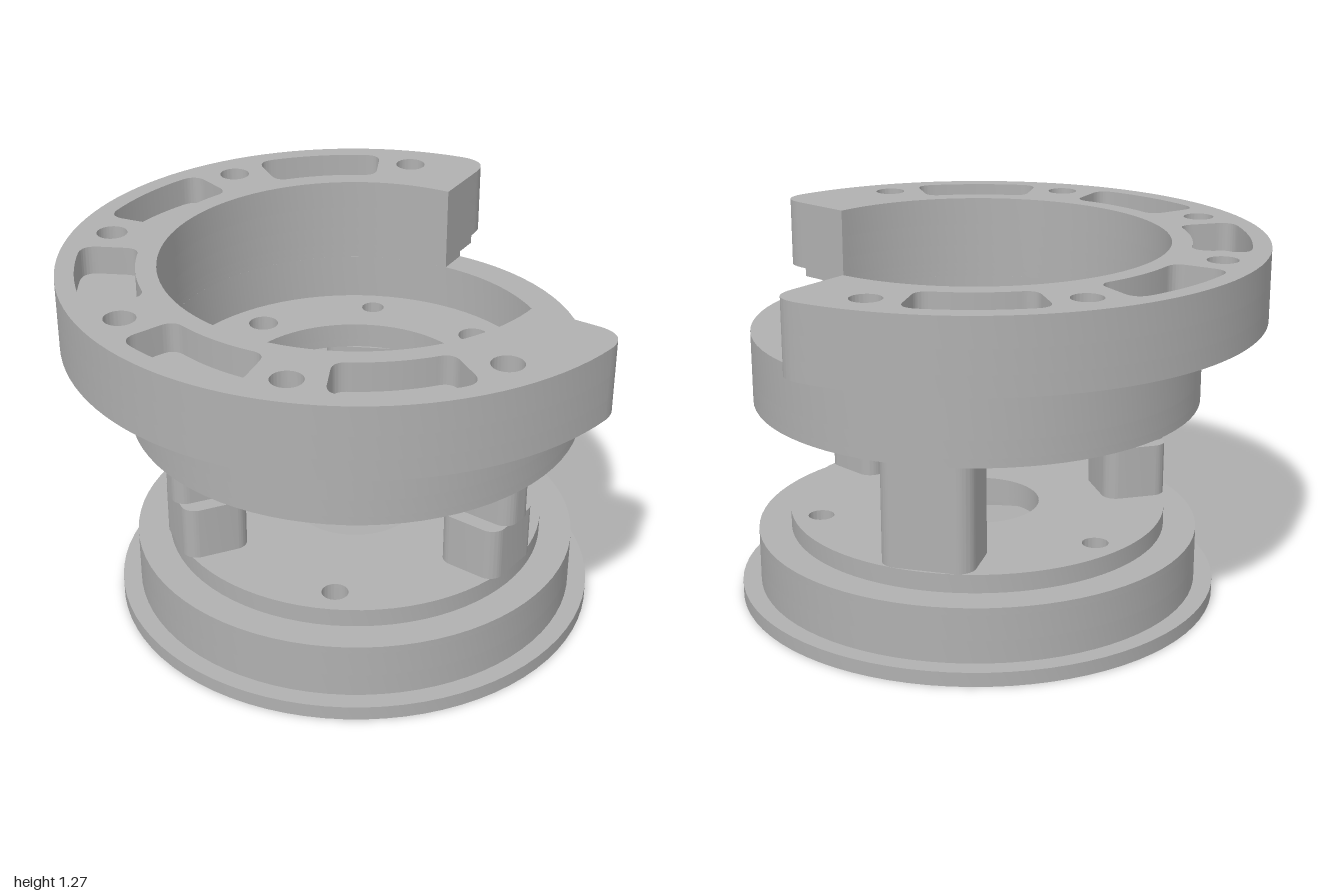
import * as THREE from 'three';
import { toCreasedNormals } from 'three/addons/utils/BufferGeometryUtils.js';

const rad = (d) => (d * Math.PI) / 180;

// Round hole at a polar position
function bore(r, deg, size) {
  const p = new THREE.Path();
  p.absarc(r * Math.cos(rad(deg)), r * Math.sin(rad(deg)), size, 0, Math.PI * 2);
  return p;
}

const bores = (r, angles, size) => angles.map((a) => bore(r, a, size));

// Full ring outline
function ring(outer, inner) {
  const s = new THREE.Shape();
  s.absarc(0, 0, outer, 0, Math.PI * 2);
  if (inner) s.holes.push(bore(0, 0, inner));
  return s;
}

// Part of a ring between two angles; co and ci round its outer and inner corners
function sector(outer, inner, from, to, co = 0, ci = 0) {
  const a = rad(from), b = rad(to), s = new THREE.Shape();
  const at = (r, t) => [r * Math.cos(t), r * Math.sin(t)];
  const ao = co / outer, ai = ci / inner;
  s.moveTo(...at(inner + ci, a));
  s.lineTo(...at(outer - co, a));
  if (co) s.quadraticCurveTo(...at(outer, a), ...at(outer, a + ao));
  s.absarc(0, 0, outer, a + ao, b - ao, false);
  if (co) s.quadraticCurveTo(...at(outer, b), ...at(outer - co, b));
  s.lineTo(...at(inner + ci, b));
  if (ci) s.quadraticCurveTo(...at(inner, b), ...at(inner, b - ai));
  s.absarc(0, 0, inner, b - ai, a + ai, true);
  if (ci) s.quadraticCurveTo(...at(inner, a), ...at(inner + ci, a));
  return s;
}

// Rounded rectangle centred at distance r on the x axis
function pad(r, halfRadial, halfWide, c) {
  const s = new THREE.Shape(), q = Math.PI / 2;
  const x = halfRadial - c, y = halfWide - c;
  s.absarc(r + x, y, c, 0, q);
  s.absarc(r - x, y, c, q, 2 * q);
  s.absarc(r - x, -y, c, 2 * q, 3 * q);
  s.absarc(r + x, -y, c, 3 * q, 4 * q);
  s.closePath();
  return s;
}

export function createModel() {
  const model = new THREE.Group();
  const body = new THREE.Group();
  body.name = 'body';
  body.position.x = 0.07;
  model.add(body);

  const metal = new THREE.MeshStandardMaterial({ color: 0xb0b0b0 });
  metal.name = 'grey metal';

  // Extrudes an outline upward from y0 to y1
  function layer(name, shape, y0, y1, holes = [], segments = 40) {
    shape.holes.push(...holes);
    const g = new THREE.ExtrudeGeometry(shape, {
      depth: y1 - y0, bevelEnabled: false, curveSegments: segments,
    });
    g.rotateX(-Math.PI / 2);
    g.translate(0, y0, 0);
    const mesh = new THREE.Mesh(toCreasedNormals(g, 0.5), metal);
    mesh.name = name;
    body.add(mesh);
    return mesh;
  }

  const legAngles = [90, 210, 330];
  const blindAngles = [30, 150, 270];
  const cupAngles = [45, 135, 225, 315];
  const legBores = () => bores(0.566, legAngles, 0.04);

  // Base with stepped recess underneath
  layer('baseFlange', ring(0.845, 0.73), 0, 0.05);
  layer('baseRim', ring(0.78, 0.73), 0.05, 0.13);
  layer('basePlate', ring(0.78, 0.473), 0.13, 0.22, legBores());
  layer('baseDeck', ring(0.78, 0.22), 0.22, 0.245, legBores());
  layer('baseStep', ring(0.665, 0.22), 0.245, 0.31,
    [...legBores(), ...bores(0.566, blindAngles, 0.045)]);

  // Legs: one plain at the back, two stepped at the front
  for (const angle of legAngles) {
    const parts = angle === 90
      ? [['backLeg', pad(0.533, 0.122, 0.16, 0.06), 0.31, 0.72]]
      : [['frontLegFoot', pad(0.56, 0.115, 0.125, 0.05), 0.31, 0.5],
        ['frontLeg', pad(0.56, 0.13, 0.07, 0.05), 0.5, 0.72]];
    for (const [name, shape, y0, y1] of parts) {
      layer(name, shape, y0, y1, [bore(0.566, 0, 0.04)], 16).rotation.y = rad(angle);
    }
  }

  // Cup with drilled floor, counterbored from below
  layer('cupUnderside', ring(0.78, 0.42), 0.72, 0.75,
    [...legBores(), ...bores(0.566, blindAngles, 0.035), ...bores(0.545, cupAngles, 0.075)]);
  layer('cupFloor', ring(0.78, 0.42), 0.75, 0.81,
    [...legBores(), ...bores(0.545, cupAngles, 0.053)]);
  layer('cupWall', ring(0.78, 0.665), 0.81, 0.97);

  // Open collar above the cup
  const from = 66.5, to = 333.4;
  const collar = () => sector(1, 0.665, from, to, 0.11);
  const screwAngles = [0, 1, 2, 3, 4, 5].map((i) => 83 + 45 * i);
  const screwBores = () => bores(0.865, screwAngles, 0.053);
  const pockets = screwAngles.slice(0, 5).map((a) =>
    sector(0.935, 0.735, a + 8, a + 37, 0.06, 0.05));
  layer('collarNeck', sector(0.78, 0.665, from, to), 0.97, 0.99);
  layer('collarStep', sector(0.87, 0.665, from, to), 0.99, 1.02);
  layer('collarBottom', collar(), 1.02, 1.09);
  layer('collarMiddle', collar(), 1.09, 1.17, screwBores());
  layer('collarTop', collar(), 1.17, 1.27, [...screwBores(), ...pockets]);

  // Conical ends of the screw holes
  const coneMetal = metal.clone();
  coneMetal.name = 'grey metal, open';
  coneMetal.side = THREE.DoubleSide;
  for (const a of screwAngles) {
    const cone = new THREE.Mesh(new THREE.CylinderGeometry(0.053, 0, 0.035, 32, 1, true), coneMetal);
    cone.name = 'screwHoleEnd';
    cone.position.set(0.865 * Math.cos(rad(a)), 1.11, -0.865 * Math.sin(rad(a)));
    body.add(cone);
  }

  return model;
}
